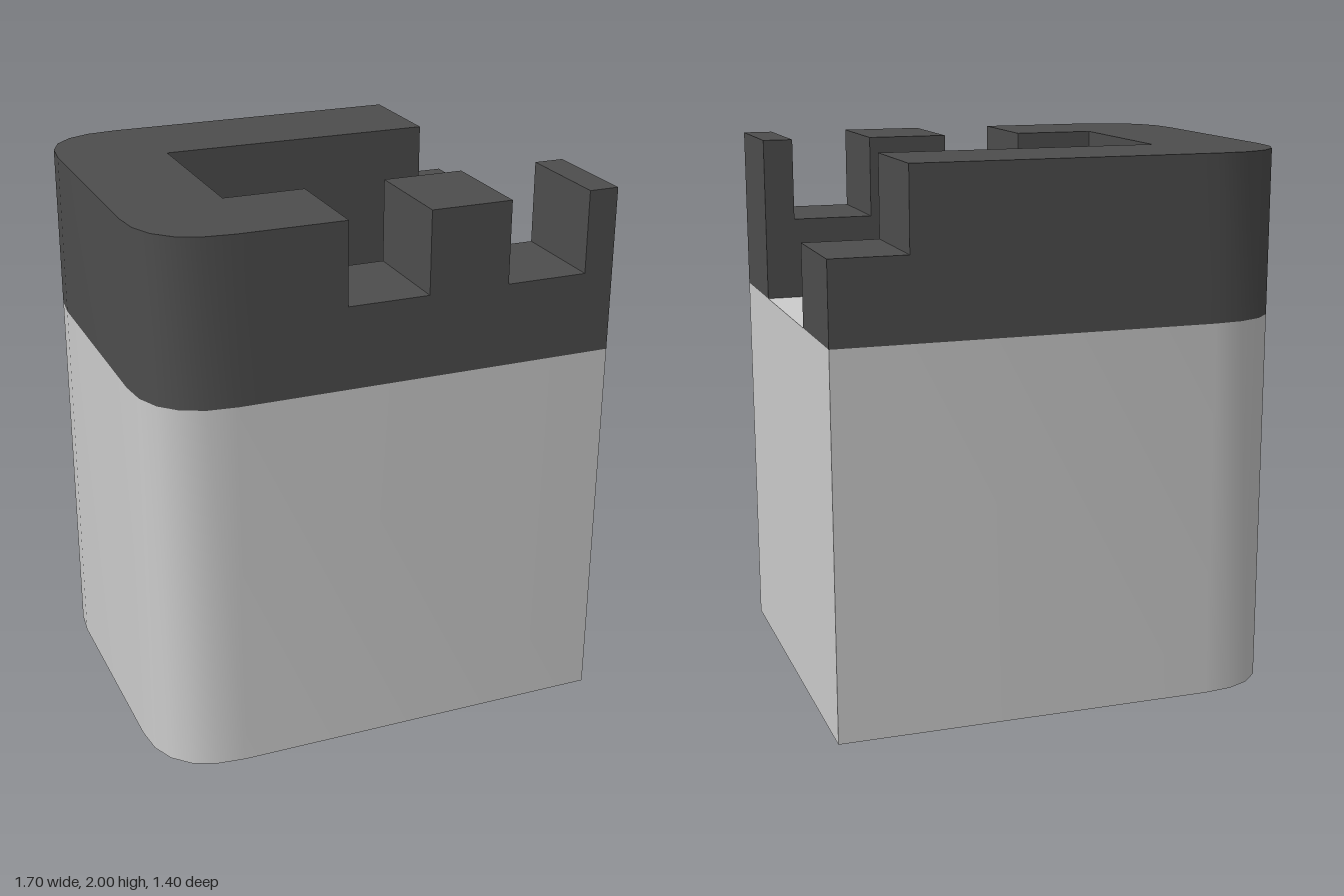
import * as THREE from 'three';
import { toCreasedNormals } from 'three/addons/utils/BufferGeometryUtils.js';

const X = 0.85, Z = 0.7, R = 0.3;           // half length, half depth, corner size
const BASE = 1.4, SLOT = 1.7, TOP = 2;      // heights of body, notch floors and wall tops
const INNER_X = -0.46, INNER_Z = 0.31;      // channel limits

const grey = new THREE.MeshStandardMaterial({ color: 0xcccccc });
const dark = new THREE.MeshStandardMaterial({ color: 0x4d4d4d });

// Plan block with two rounded corners at -x, square at xEnd
function roundedBlock(xEnd, y, height) {
  const s = new THREE.Shape();
  s.moveTo(xEnd, -Z);
  s.lineTo(xEnd, Z);
  s.lineTo(-X + R, Z);
  s.quadraticCurveTo(-X, Z, -X, Z - R);
  s.lineTo(-X, -Z + R);
  s.quadraticCurveTo(-X, -Z, -X + R, -Z);
  const g = new THREE.ExtrudeGeometry(s, { depth: height, bevelEnabled: false, curveSegments: 5 });
  g.rotateX(-Math.PI / 2).translate(0, y, 0);
  return toCreasedNormals(g, 0.6);
}

// Straight wall whose top edge is cut by notches [x0, x1]
function notchedWall(notches, z) {
  const pts = [[INNER_X, BASE], [X, BASE]];
  for (const [x0, x1] of notches) {
    if (x1 < X) pts.push([X, TOP], [x1, TOP]);
    pts.push([x1, SLOT], [x0, SLOT], [x0, TOP]);
  }
  pts.push([INNER_X, TOP]);
  // Drop repeated end corners left by several notches
  const clean = pts.filter(([x, y], i) => !(x === X && y === TOP && i > 2));
  const s = new THREE.Shape(clean.map(([x, y]) => new THREE.Vector2(x, y)));
  const g = new THREE.ExtrudeGeometry(s, { depth: Z - INNER_Z, bevelEnabled: false });
  return g.translate(0, 0, z);
}

export function createModel() {
  const model = new THREE.Group();
  const add = (name, geometry, material) => {
    const mesh = new THREE.Mesh(geometry, material);
    mesh.name = name;
    model.add(mesh);
  };

  add('body', roundedBlock(X, 0, BASE), grey);
  add('roundedEndWall', roundedBlock(INNER_X, BASE, TOP - BASE), dark);
  // Notches run from +x towards -x
  add('frontWall', notchedWall([[0.44, 0.74], [-0.16, 0.14]], INNER_Z), dark);
  add('backWall', notchedWall([[0.57, X]], -Z), dark);
  return model;
}
